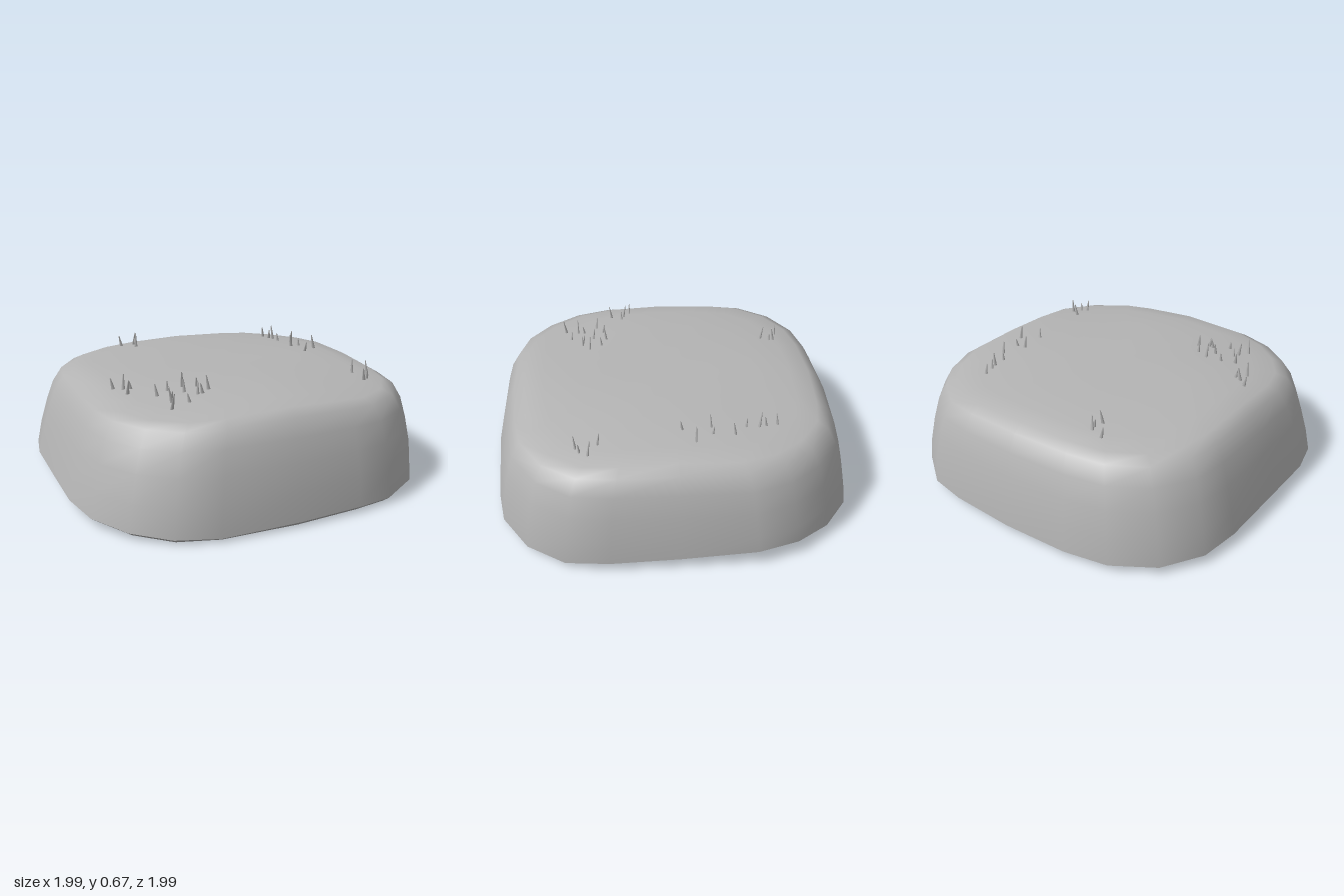
import * as THREE from 'three';

// Base outline seen from above, from the back towards +x: x, z, rim height
const OUTLINE = [
  [0.02, -1.0, 0.04], [0.39, -0.98, 0.045], [0.6, -0.94, 0.05], [0.79, -0.8, 0.065],
  [0.92, -0.62, 0.085], [0.99, -0.4, 0.095], [0.985, 0, 0.07], [0.975, 0.36, 0.055],
  [0.94, 0.59, 0.045], [0.8, 0.79, 0.04], [0.57, 0.93, 0.03], [0.37, 0.965, 0.03],
  [0.01, 0.99, 0.025], [-0.42, 0.985, 0.02], [-0.64, 0.92, 0.025], [-0.82, 0.78, 0.035],
  [-0.95, 0.58, 0.05], [-1, 0.36, 0.065], [-1, 0, 0.07], [-0.99, -0.39, 0.06],
  [-0.95, -0.61, 0.05], [-0.81, -0.81, 0.04], [-0.59, -0.94, 0.035], [-0.35, -0.985, 0.035],
];
// Side and top profile: scale of the outline, height, dip at the corners
const PROFILE = [
  [0.982, 0.18, 0], [0.95, 0.32, 0], [0.915, 0.44, 0.005], [0.868, 0.53, 0.015],
  [0.81, 0.567, 0.025], [0.7, 0.587, 0.025], [0.5, 0.597, 0.008], [0.25, 0.6, 0],
];
// Grass tufts: x, z of each blade
const BLADES = [
  [-0.37, -0.69], [-0.3, -0.67], [-0.29, -0.64], [-0.31, -0.59],
  [0.55, -0.54], [0.56, -0.48], [0.57, -0.44], [0.57, -0.37], [0.63, -0.31],
  [0.57, -0.19], [0.62, -0.19], [0.68, -0.1], [0.58, -0.04],
  [-0.69, 0.18], [-0.65, 0.22], [-0.61, 0.23], [-0.65, 0.29],
  [-0.52, 0.39], [-0.45, 0.35], [-0.36, 0.33], [-0.29, 0.36], [-0.38, 0.41],
  [-0.25, 0.43], [-0.47, 0.46], [-0.48, 0.5], [-0.33, 0.47], [-0.3, 0.47],
  [-0.51, 0.57], [-0.4, 0.54],
  [0.64, 0.4], [0.65, 0.51], [0.68, 0.49], [0.71, 0.45],
];

// Skins closed rings and finishes with a fan to the centre point
function skin(rings, centre, flip) {
  const n = rings[0].length, index = [];
  const tri = (a, b, c) => (flip ? index.push(a, c, b) : index.push(a, b, c));
  for (let k = 0; k < rings.length; k++) {
    for (let i = 0; i < n; i++) {
      const j = (i + 1) % n, a = k * n + i, b = k * n + j;
      if (k === rings.length - 1) tri(a, rings.length * n, b);
      else {
        tri(a, a + n, b);
        tri(b, a + n, b + n);
      }
    }
  }
  const geo = new THREE.BufferGeometry();
  geo.setAttribute('position', new THREE.Float32BufferAttribute([...rings.flat(), centre].flat(), 3));
  geo.setIndex(index);
  geo.computeVertexNormals();
  return geo;
}

export function createModel() {
  const group = new THREE.Group();
  const stone = new THREE.MeshStandardMaterial({ color: 0xb4b4b4 });
  stone.name = 'stone grey';
  const add = (name, geo) => {
    const mesh = new THREE.Mesh(geo, stone);
    mesh.name = name;
    group.add(mesh);
    return mesh;
  };

  // Rounded slab: sloping sides, soft shoulder, nearly flat top
  const rim = OUTLINE.map(([x, z, y]) => [x, y, z]);
  const rings = PROFILE.map(([s, h, dip]) => OUTLINE.map(([x, z]) => {
    const corner = 4 * x * x * z * z / (x * x + z * z) ** 2;
    return [x * s + 0.03 * h / 0.6, h - dip * corner * (z > 0 ? 1.2 : 0.6), z * s];
  }));
  const slab = add('slab', skin([rim, ...rings], [0.03, 0.6, 0], false));

  // Underside with a narrow bevel behind the rim
  const bevel = OUTLINE.map(([x, z, y]) => [x * 0.97, Math.max(0, y - 0.025), z * 0.97]);
  bevel[13][1] = 0;
  add('bevel', skin([rim, bevel], [0, 0.025, 0], true));

  // Grass blades standing on the slab, each leaning a little
  const blade = new THREE.CylinderGeometry(0.003, 0.012, 1, 5).translate(0, 0.5, 0);
  const ray = new THREE.Raycaster();
  const down = new THREE.Vector3(0, -1, 0);
  slab.updateMatrixWorld();
  BLADES.forEach(([x, z], i) => {
    ray.set(new THREE.Vector3(x, 2, z), down);
    const hit = ray.intersectObject(slab)[0];
    const mesh = add('grassBlade', blade);
    mesh.position.set(x, (hit ? hit.point.y : 0.58) - 0.01, z);
    mesh.scale.set(1, 0.075 + 0.02 * Math.sin(i * 2.4), 0.7);
    mesh.rotation.set(0.18 * Math.sin(i * 1.7), 0, 0.16 * Math.cos(i * 2.9) + 0.05);
  });
  return group;
}
